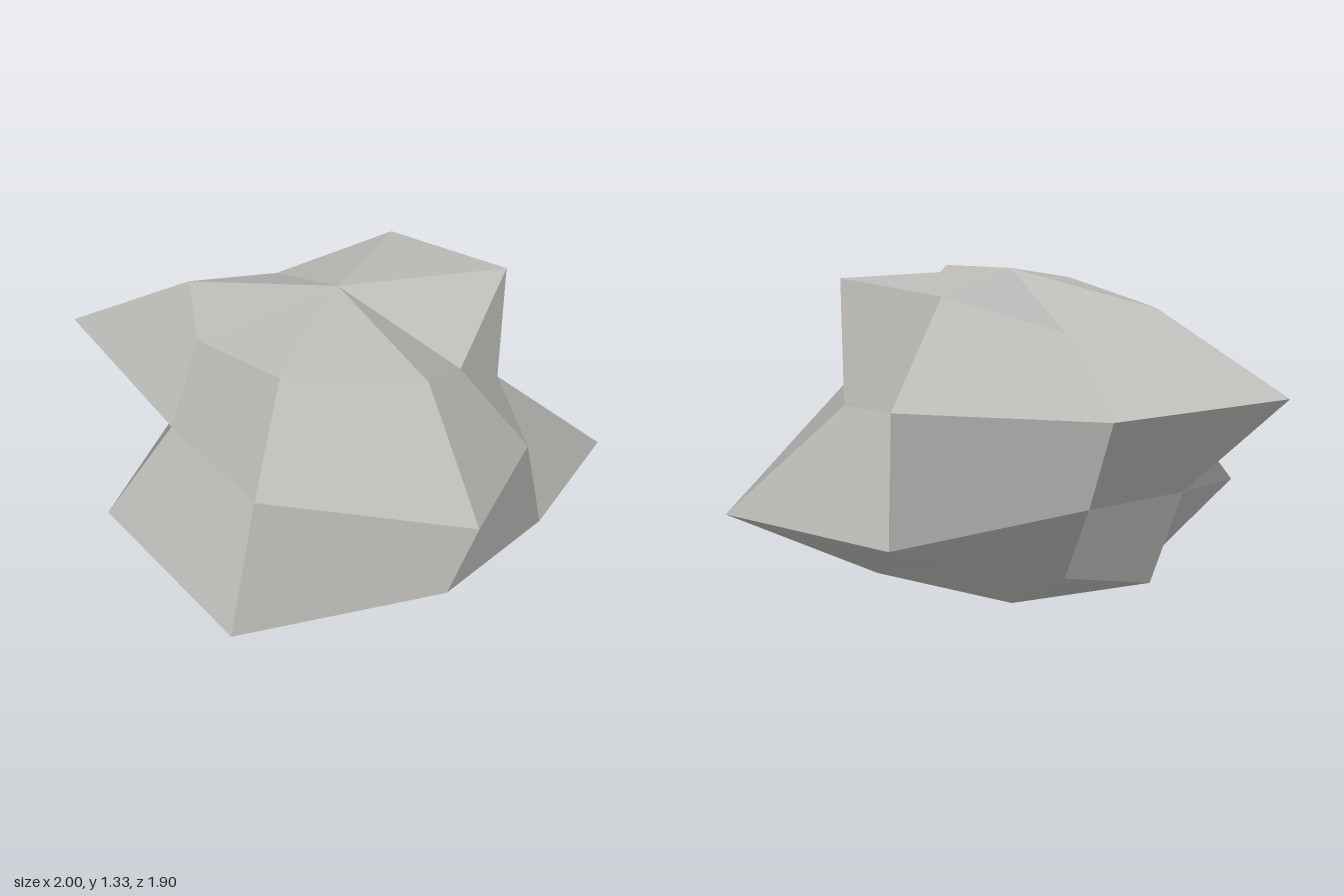
import * as THREE from 'three';

// Horizontal radius of each ring, top to bottom, starting at -x and turning through +z, +x, -z
const RINGS = [
  [0.61, 0.585, 0.66, 0.705, 0.485, 0.725, 0.69, 0.53],
  [1.13, 0.71, 0.95, 1.103, 0.76, 0.72, 1.155, 0.945],
  [0.72, 1.0, 1.22, 0.91, 0.83, 1.228, 1.19, 0.74],
  [0.59, 0.61, 0.525, 0.51, 0.52, 0.59, 0.49, 0.52],
];
const SIDES = 8;
const ROWS = RINGS.length + 1;
const TOP = new THREE.Vector3(0.13, 1.33, -0.01);
const BOTTOM = new THREE.Vector3(0.13, 0, -0.01);

// Point on a squashed sphere pushed in or out to its ring radius
function corner(row, side) {
  if (row === 0) return TOP;
  if (row === ROWS) return BOTTOM;
  const radius = RINGS[row - 1][side % SIDES];
  const turn = (side / SIDES) * Math.PI * 2;
  const rise = 0.636 / Math.tan((row / ROWS) * Math.PI);
  return new THREE.Vector3(
    0.13 - radius * Math.cos(turn),
    0.67 + radius * rise,
    -0.01 + 0.79 * radius * Math.sin(turn),
  );
}

// Normal of a triangle or, with the two diagonals, of a whole four-sided facet
function cross(from1, to1, from2, to2) {
  return to1.clone().sub(from1).cross(to2.clone().sub(from2));
}

function rockGeometry() {
  const positions = [];
  const normals = [];
  const addFacet = (normal, ...points) => {
    normal.normalize();
    for (const p of points) {
      positions.push(p.x, p.y, p.z);
      normals.push(normal.x, normal.y, normal.z);
    }
  };

  for (let row = 0; row < ROWS; row++) {
    for (let side = 0; side < SIDES; side++) {
      const a = corner(row, side + 1);
      const b = corner(row, side);
      const c = corner(row + 1, side);
      const d = corner(row + 1, side + 1);
      const upper = cross(a, b, a, d);
      const lower = cross(b, c, b, d);
      if (row === 0) addFacet(lower, b, c, d);
      else if (row === ROWS - 1) addFacet(upper, a, b, d);
      else {
        // Each four-sided facet is shaded as one plane; fold it the other way where it would turn over
        const normal = cross(a, c, b, d);
        if (upper.dot(lower) < 0) addFacet(normal, a, b, c, a, c, d);
        else addFacet(normal, a, b, d, b, c, d);
      }
    }
  }

  const geometry = new THREE.BufferGeometry();
  geometry.setAttribute('position', new THREE.Float32BufferAttribute(positions, 3));
  geometry.setAttribute('normal', new THREE.Float32BufferAttribute(normals, 3));
  return geometry;
}

export function createModel() {
  const group = new THREE.Group();
  group.name = 'boulder';

  const stone = new THREE.MeshStandardMaterial({ color: 0xbcbbb8 });
  stone.name = 'stone grey';

  const rock = new THREE.Mesh(rockGeometry(), stone);
  rock.name = 'rock';
  group.add(rock);
  return group;
}
